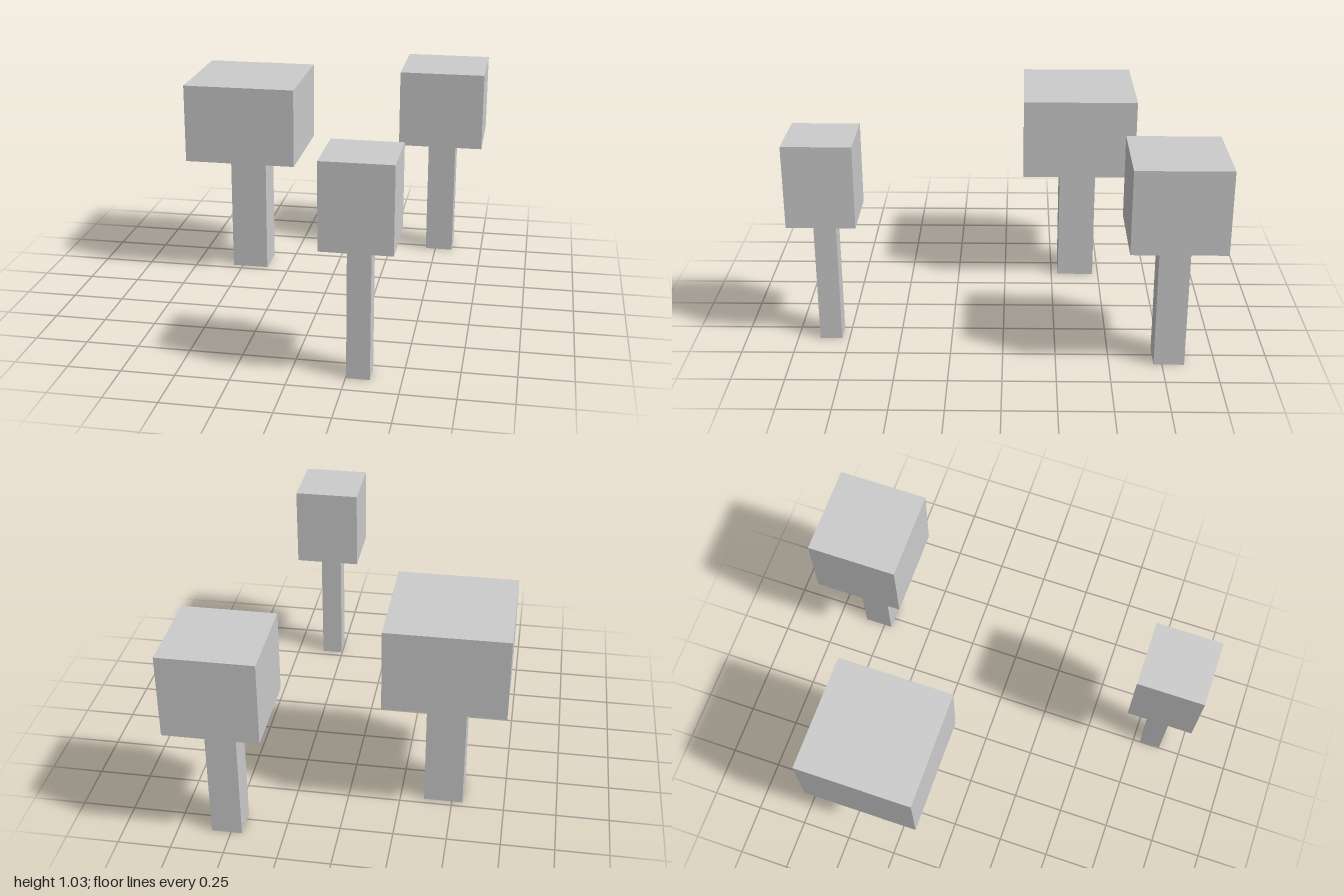
import * as THREE from 'three';

const material = new THREE.MeshStandardMaterial({
  color: 0xcccccc, flatShading: true, side: THREE.DoubleSide,
});

// Square block from y0 to y1 with no underside
function openBlock(name, width, y0, y1) {
  const geometry = new THREE.BoxGeometry(width, y1 - y0, width);
  const index = Array.from(geometry.index.array);
  index.splice(18, 6); // drop the bottom face
  geometry.setIndex(index);
  geometry.clearGroups();
  geometry.translate(0, (y0 + y1) / 2, 0);
  const mesh = new THREE.Mesh(geometry, material);
  mesh.name = name;
  return mesh;
}

// Blocky tree: the trunk reaches a little way up into the hollow crown
function tree(name, x, z, width) {
  const group = new THREE.Group();
  group.name = name;
  group.add(
    openBlock('trunk', width * 0.33, 0, 0.76),
    openBlock('crown', width, 0.638, 1.035),
  );
  group.position.set(x, 0, z);
  return group;
}

export function createModel() {
  const model = new THREE.Group();
  model.name = 'trees';
  model.add(
    tree('largeTree', -0.458, -0.378, 0.562),
    tree('mediumTree', 0.519, -0.782, 0.436),
    tree('smallTree', 0.306, 0.839, 0.322),
  );
  return model;
}
